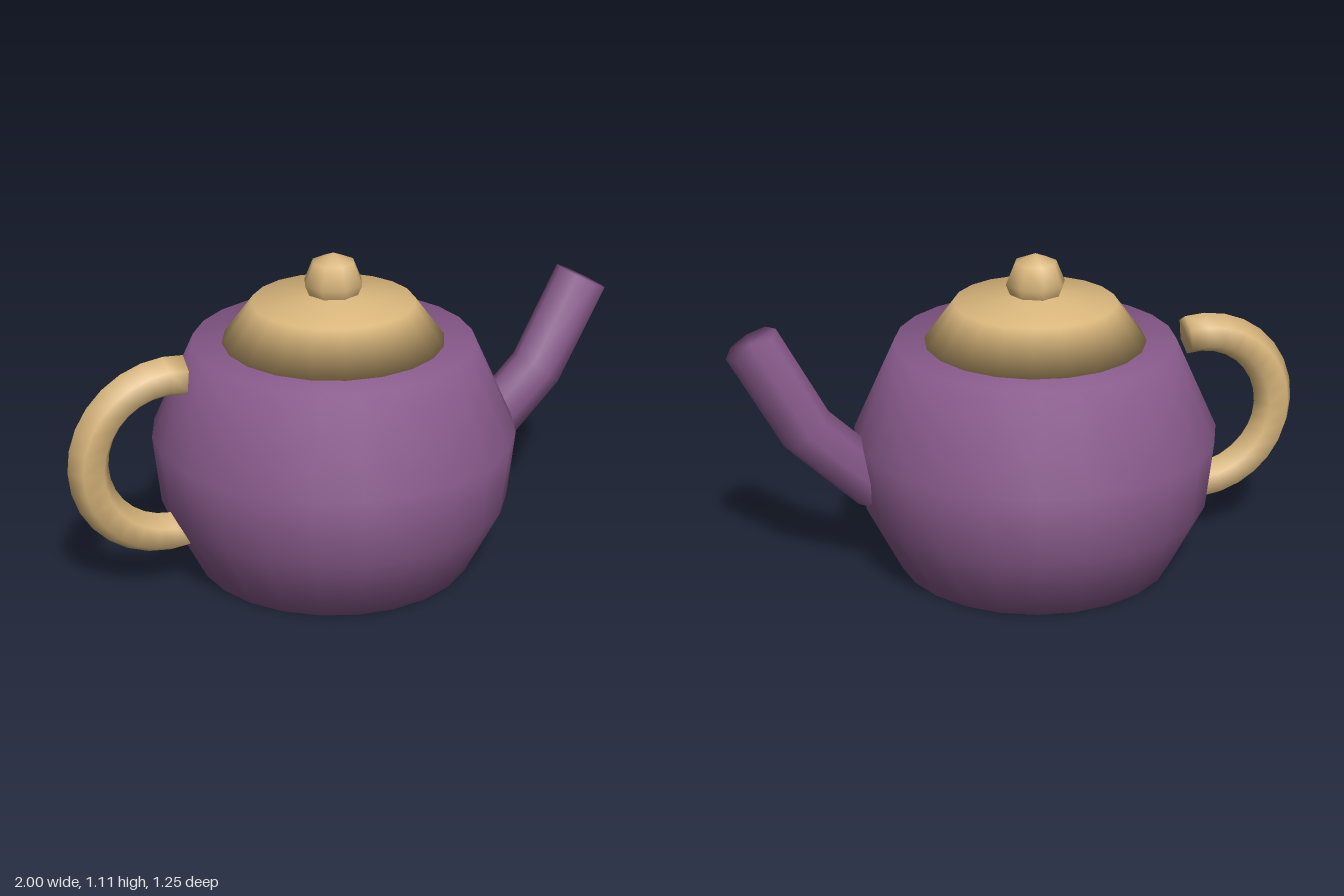
import * as THREE from 'three';

const purple = new THREE.MeshStandardMaterial({ color: 0x87598a });
const gold = new THREE.MeshStandardMaterial({ color: 0xd8b57b });
purple.name = 'purpleGlaze';
gold.name = 'goldTrim';

const AXIS_X = -0.05; // centre line of the pot

// Closed, smooth tube swept along points lying in the xy plane
function sweep(points, radius, sides) {
  const pos = [], index = [], last = points.length - 1;
  points.forEach((p, i) => {
    const before = points[Math.max(i - 1, 0)], after = points[Math.min(i + 1, last)];
    const t = after.clone().sub(before).normalize();
    for (let k = 0; k < sides; k++) {
      const a = (k / sides) * Math.PI * 2, c = radius * Math.cos(a);
      pos.push(p.x + c * t.y, p.y - c * t.x, radius * Math.sin(a));
    }
  });
  const start = pos.length / 3, end = start + 1;
  pos.push(points[0].x, points[0].y, 0, points[last].x, points[last].y, 0);
  for (let k = 0; k < sides; k++) {
    const n = (k + 1) % sides;
    for (let i = 0; i < last; i++) {
      const a = i * sides, b = a + sides;
      index.push(a + k, b + k, a + n, b + k, b + n, a + n);
    }
    index.push(start, k, n, end, last * sides + n, last * sides + k);
  }
  const geo = new THREE.BufferGeometry();
  geo.setAttribute('position', new THREE.Float32BufferAttribute(pos, 3));
  geo.setIndex(index);
  geo.computeVertexNormals();
  return geo;
}

const vectors = (list) => list.map(([x, y]) => new THREE.Vector2(x, y));

export function createModel() {
  const group = new THREE.Group();
  group.name = 'teapot';
  const add = (name, geometry, material, x = 0, y = 0) => {
    const mesh = new THREE.Mesh(geometry, material);
    mesh.name = name;
    mesh.position.set(x, y, 0);
    group.add(mesh);
  };

  // Rounded pot, closed at top and bottom
  const bodyProfile = vectors([[0, 0], [0.48, 0], [0.6, 0.24], [0.625, 0.48], [0.48, 0.8], [0, 0.8]]);
  add('body', new THREE.LatheGeometry(bodyProfile, 24), purple, AXIS_X);

  // Domed lid and its knob
  const lidProfile = vectors([[0, 0.8], [0.378, 0.8], [0.277, 0.936], [0, 0.98]]);
  add('lid', new THREE.LatheGeometry(lidProfile, 20), gold, AXIS_X);
  add('knob', new THREE.SphereGeometry(0.103, 8, 4), gold, AXIS_X, 1.002);

  // Bent spout on the model's left
  add('spout', sweep(vectors([[0.51, 0.33], [0.745, 0.56], [0.915, 0.88]]), 0.095, 8), purple);

  // C-shaped handle
  const arc = [];
  for (let i = 0; i <= 16; i++) {
    const a = THREE.MathUtils.degToRad(79 + (202 * i) / 16);
    arc.push(new THREE.Vector2(-0.65 + 0.282 * Math.cos(a), 0.483 + 0.282 * Math.sin(a)));
  }
  add('handle', sweep(arc, 0.07, 6), gold);

  return group;
}
